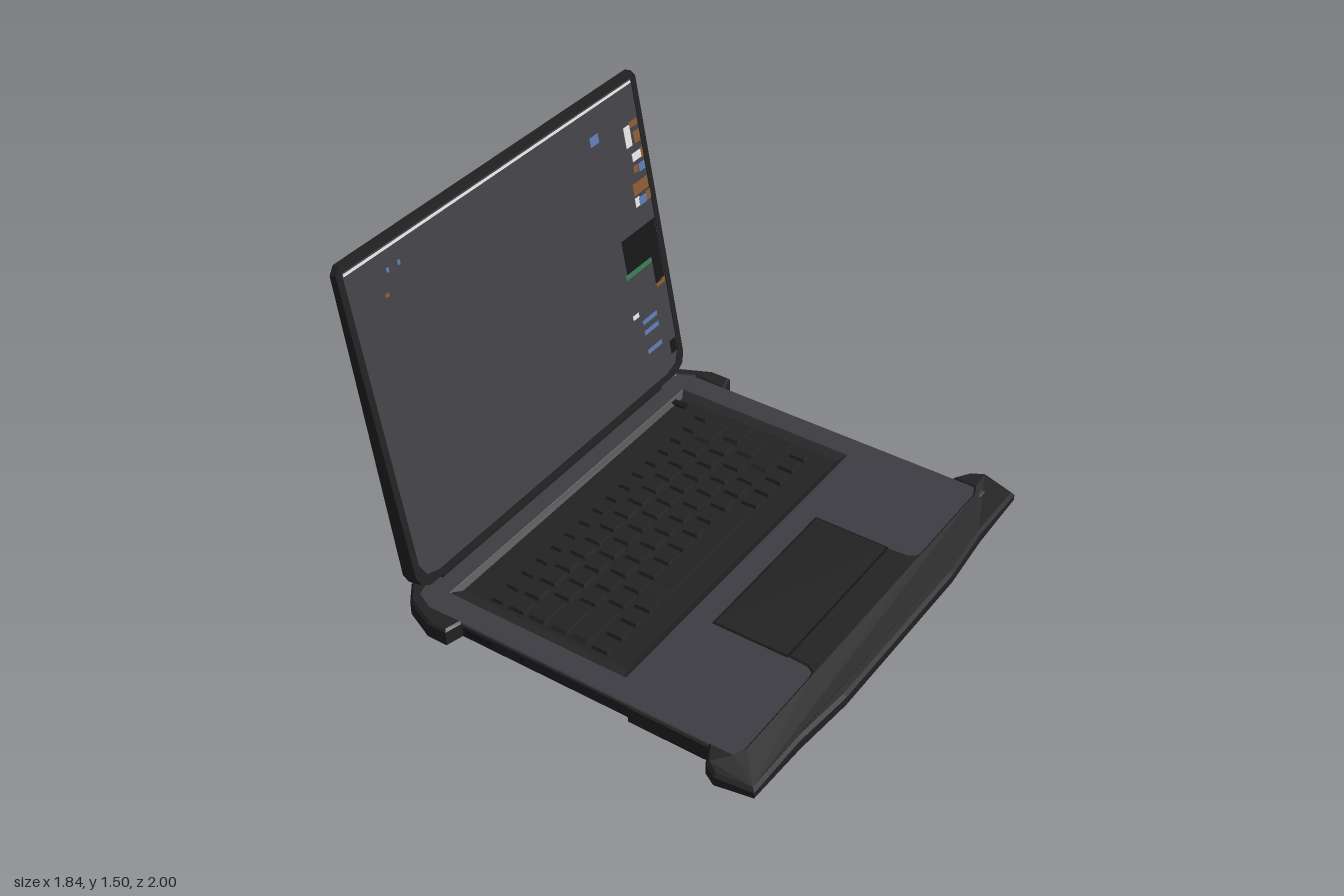
import * as THREE from 'three';

const mat = (name, color) => {
  const m = new THREE.MeshStandardMaterial({ color });
  m.name = name;
  return m;
};

export function createModel() {
  const root = new THREE.Group();
  root.name = 'ruggedLaptop';
  const dark = mat('darkRubber', 0x222222);
  const grey = mat('deckGrey', 0x3d3c42);
  const screen = mat('screenGrey', 0x424147);
  const black = mat('black', 0x161616);
  const white = mat('white', 0xe4e4e4);
  const blue = mat('blue', 0x5c7bb0);
  const orange = mat('orange', 0x8a5a34);
  const green = mat('green', 0x3a7a55);
  const rim = mat('keyboardRim', 0x262627);
  rim.side = THREE.DoubleSide;

  const add = (parent, name, geo, m) => {
    const mesh = new THREE.Mesh(geo, m);
    mesh.name = name;
    parent.add(mesh);
    return mesh;
  };
  const box = (parent, name, m, [x0, x1], [y0, y1], [z0, z1]) => {
    const mesh = add(parent, name, new THREE.BoxGeometry(x1 - x0, y1 - y0, z1 - z0), m);
    mesh.position.set((x0 + x1) / 2, (y0 + y1) / 2, (z0 + z1) / 2);
    return mesh;
  };
  const shapeOf = (pts) => new THREE.Shape(pts.map(([a, b]) => new THREE.Vector2(a, b)));
  const mirrored = (pts) => [...pts, ...pts.map(([a, b]) => [a, -b]).reverse()];
  const extrude = (shape, depth, bevel) => {
    const g = new THREE.ExtrudeGeometry(shape, {
      depth: depth - 2 * bevel, bevelEnabled: bevel > 0, bevelSize: bevel,
      bevelThickness: bevel, bevelOffset: -bevel, bevelSegments: 1,
    });
    return g.translate(0, 0, bevel);
  };
  // Horizontal slab from an [x, z] outline
  const slab = (name, m, pts, y0, y1, bevel = 0, hole) => {
    const s = shapeOf(pts.map(([x, z]) => [x, -z]));
    if (hole) s.holes.push(shapeOf(hole));
    return add(root, name, extrude(s, y1 - y0, bevel).rotateX(-Math.PI / 2).translate(0, y0, 0), m);
  };

  // Base: lower case, grey deck with keyboard opening
  slab('lowerCase', dark, mirrored([[0.85, 0.885], [-0.68, 0.885], [-0.74, 0.8]]), 0.022, 0.086, 0.008);
  slab('deck', grey, mirrored([[0.8, 0.89], [-0.62, 0.89], [-0.67, 0.87], [-0.69, 0.82]]), 0.084, 0.1, 0.004,
    [[-0.59, -0.78], [0.22, -0.78], [0.22, 0.78], [-0.59, 0.78]]);

  // Front bumper with wide ears, sloping down towards the edge
  const bumper = slab('frontBumper', dark, mirrored([
    [0.645, 0.37], [0.735, 0.375], [0.76, 0.39], [0.766, 0.42], [0.766, 0.84], [0.75, 0.88], [0.65, 0.885],
    [0.69, 0.965], [0.745, 1.0], [0.893, 0.97], [0.897, 0.675], [0.92, 0.4],
  ].reverse()), 0.02, 0.107, 0.012);
  const bp = bumper.geometry.attributes.position;
  for (let i = 0; i < bp.count; i++) {
    const x = bp.getX(i), z = Math.abs(bp.getZ(i)), y = bp.getY(i);
    const drop = 0.025 * Math.max(0, (x - 0.78) / 0.14) + 0.01 * Math.max(0, (z - 0.9) / 0.1);
    if (y > 0.06) bp.setY(i, y - drop);
    else if (z > 0.9) bp.setY(i, y + 0.015 * (z - 0.9) / 0.1);
  }
  bumper.geometry.computeVertexNormals();

  // Corner guards, side skirts, ports and feet on both sides
  for (const s of [1, -1]) {
    slab('rearCornerGuard', dark, [[-0.75, 0.66], [-0.75, 0.82], [-0.69, 0.9], [-0.56, 0.96],
      [-0.47, 0.96], [-0.45, 0.88], [-0.6, 0.885], [-0.67, 0.85], [-0.69, 0.78], [-0.69, 0.66]]
      .map(([x, z]) => [x, z * s]), 0.022, 0.104, 0.01);
    box(root, 'sideSkirt', dark, [0.31, 0.67], [0.02, 0.088], [s * 0.89 - 0.01, s * 0.89 + 0.005]);
    for (const [x0, x1] of [[-0.43, -0.35], [-0.34, -0.31], [-0.18, -0.16]])
      box(root, 'port', black, [x0, x1], [0.05, 0.074], [s * 0.885 - 0.004, s * 0.885 + 0.004]);
    for (const x of [-0.58, 0.73]) {
      const foot = add(root, 'foot', new THREE.CylinderGeometry(0.048, 0.038, 0.026, 20), dark);
      foot.position.set(x, 0.013, s * 0.78);
    }
  }
  box(root, 'rearBar', dark, [-0.745, -0.685], [0.03, 0.1], [-0.7, 0.7]);
  box(root, 'hinge', dark, [-0.735, -0.67], [0.095, 0.135], [-0.73, 0.73]);

  // Keyboard well
  const well = new THREE.CylinderGeometry(Math.SQRT2, Math.SQRT2 * 0.94, 0.013, 4, 1, true)
    .rotateY(Math.PI / 4).scale(0.405, 1, 0.78).toNonIndexed();
  well.computeVertexNormals();
  add(root, 'keyboardRim', well, rim).position.set(-0.185, 0.0935, 0);
  box(root, 'keyboardFloor', dark, [-0.585, 0.215], [0.08, 0.088], [-0.775, 0.775]);
  box(root, 'powerButton', black, [-0.585, -0.52], [0.086, 0.096], [-0.71, -0.68]);

  // Keys: each row lists relative widths from -z to +z
  const ones = (n) => Array(n).fill(1);
  const rows = [
    [-0.445, -0.39, ones(16)],
    [-0.365, -0.29, [2.2, ...ones(13)]],
    [-0.27, -0.195, [1.5, ...ones(12), 1.6]],
    [-0.17, -0.095, [2, ...ones(11), 1.9]],
    [-0.075, 0, [2.4, ...ones(10), 2.4]],
    [0.02, 0.095, [1, 1, 1, 1, 1, 7.2, 1, 1, 1, 1]],
  ];
  for (const [x0, x1, widths] of rows) {
    const unit = 1.46 / widths.reduce((a, b) => a + b, 0);
    let z = -0.73;
    for (const w of widths) {
      const key = new THREE.CylinderGeometry(0.6, Math.SQRT1_2, 1, 4).rotateY(Math.PI / 4).toNonIndexed();
      key.computeVertexNormals();
      const mesh = add(root, 'key', key, dark);
      mesh.scale.set(x1 - x0, 0.014, w * unit - 0.02);
      mesh.position.set((x0 + x1) / 2, 0.094, z + (w * unit) / 2);
      z += w * unit;
    }
  }

  // Touchpad
  box(root, 'touchpadSurround', black, [0.322, 0.65], [0.097, 0.1015], [-0.37, 0.37]);
  box(root, 'touchpad', dark, [0.33, 0.645], [0.097, 0.103], [-0.362, 0.362]);

  // Underside hatch and vent slots
  box(root, 'bottomHatch', black, [0.3, 0.67], [0.017, 0.024], [-0.36, 0.36]);
  for (let r = 0; r < 4; r++)
    for (let i = 0; i < 20; i++) {
      const x = -0.5 + r * 0.042, z = -0.72 + i * 0.072;
      box(root, 'ventSlot', black, [x, x + 0.016], [0.02, 0.024], [z, z + 0.055]);
    }

  // Lid: tapered shell leaning back, local x faces the user
  const lid = new THREE.Group();
  lid.name = 'lid';
  lid.position.set(-0.654, 0.14, 0);
  lid.rotation.z = 0.178;
  root.add(lid);
  const H = 1.38;
  const sym = (pts) => [...pts, ...pts.map(([z, h]) => [-z, h]).reverse()];
  const outline = sym([[0.82, 0], [0.865, 0.025], [0.885, 0.07], [0.885, H - 0.03], [0.86, H]]);
  const opening = sym([[0.76, 0.03], [0.825, 0.05], [0.855, 0.11], [0.855, H - 0.03]]);
  const upright = (shape, x0, x1, bevel = 0) =>
    extrude(shape, x1 - x0, bevel).rotateY(Math.PI / 2).translate(x0, 0, 0);
  const shell = upright(shapeOf(outline), -0.072, 0, 0.008);
  const sp = shell.attributes.position;
  for (let i = 0; i < sp.count; i++) sp.setX(i, sp.getX(i) * (1 - 0.64 * sp.getY(i) / H));
  shell.computeVertexNormals();
  add(lid, 'lidShell', shell, dark);
  const frame = shapeOf(outline);
  frame.holes.push(shapeOf(opening));
  add(lid, 'bezel', upright(frame, -0.01, 0.005), dark);
  add(lid, 'display', upright(shapeOf(opening), -0.004, 0.002), screen);

  // Picture on the display: [material, z centre, y centre, width, height]
  const plates = [
    [white, 0, 1.455, 1.7, 0.011], [blue, -0.57, 1.325, 0.055, 0.04],
    [black, -0.735, 0.785, 0.23, 0.15], [black, -0.82, 0.65, 0.06, 0.13],
    [orange, -0.82, 0.58, 0.06, 0.025], [white, -0.625, 0.515, 0.04, 0.02],
    [blue, -0.71, 0.465, 0.1, 0.02], [blue, -0.71, 0.417, 0.1, 0.02], [blue, -0.71, 0.328, 0.1, 0.02],
    [black, -0.83, 0.27, 0.04, 0.06],
    [white, -0.775, 1.25, 0.04, 0.09], [orange, -0.82, 1.29, 0.055, 0.025], [orange, -0.83, 1.23, 0.04, 0.05],
    [white, -0.81, 1.155, 0.06, 0.035], [orange, -0.845, 1.155, 0.015, 0.04], [orange, -0.79, 1.105, 0.03, 0.03],
    [blue, -0.83, 1.1, 0.04, 0.035], [orange, -0.8, 1.025, 0.1, 0.05],
    [white, -0.765, 0.97, 0.03, 0.04], [blue, -0.8, 0.965, 0.05, 0.035], [orange, -0.84, 0.97, 0.03, 0.04],
    [orange, 0.675, 1.29, 0.02, 0.015], [blue, 0.645, 1.375, 0.014, 0.018], [blue, 0.585, 1.375, 0.014, 0.018],
  ];
  const plate = ([m, z, y, w, h], x1 = 0.004) => {
    const c = (y - 0.14) / Math.cos(0.178);
    box(lid, 'displayDetail', m, [0, x1], [c - h / 2, c + h / 2], [z - w / 2, z + w / 2]);
  };
  plates.forEach((p) => plate(p));
  plate([green, -0.695, 0.7, 0.18, 0.022], 0.005);

  return root;
}
